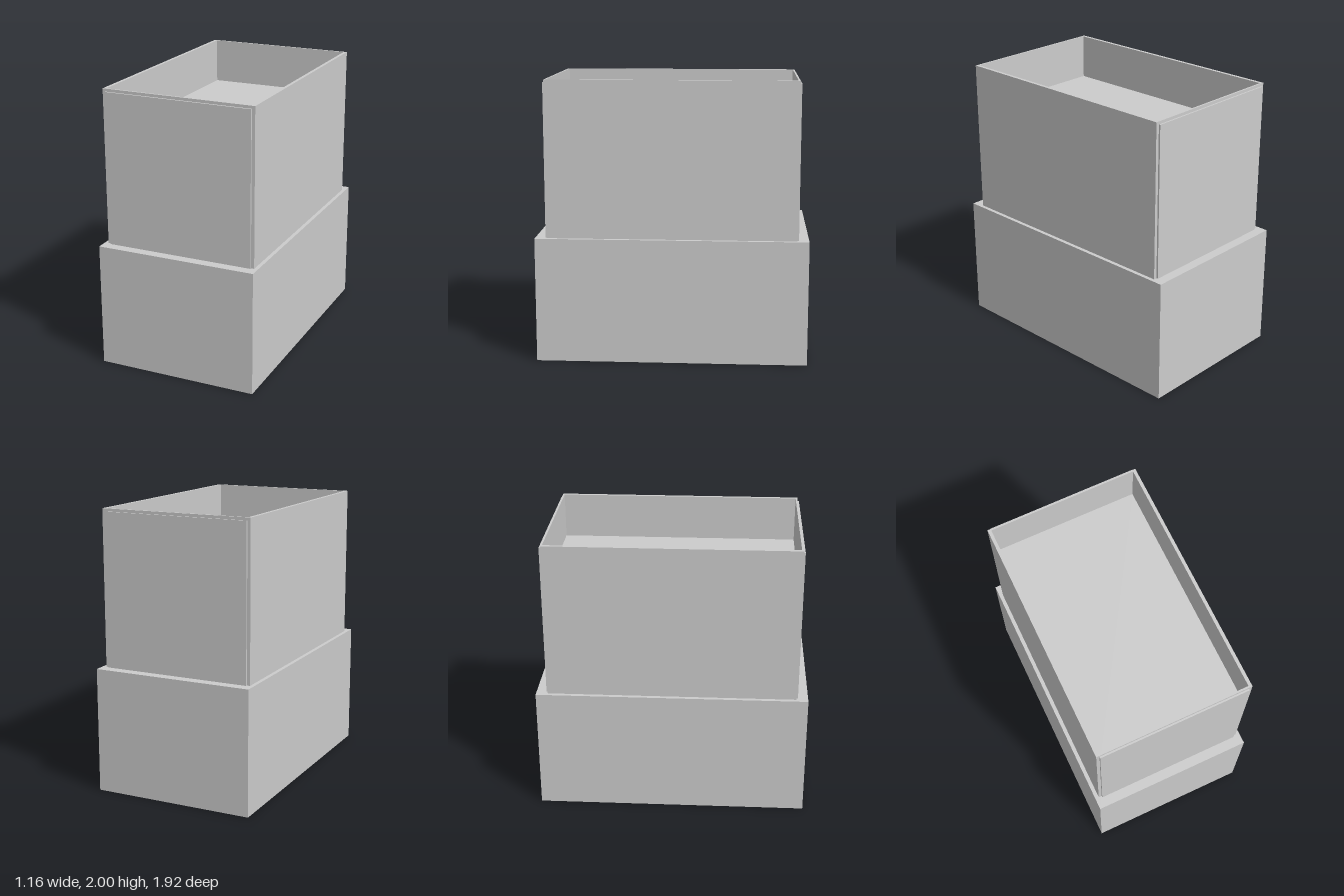
import * as THREE from 'three';

const solid = new THREE.MeshStandardMaterial({ color: 0xcccccc });
const thin = new THREE.MeshStandardMaterial({ color: 0xcccccc, side: THREE.DoubleSide });

const BASE = { x: 0.582, z: 0.96, top: 0.89 };
const OUTER = { x: 0.555, z: 0.877 };
const INNER = { x: 0.532, z: 0.864 };
const FLOOR_Y = 1.675;
const TOP_Y = 2;

function addMesh(group, name, geometry, material, x = 0, y = 0, z = 0) {
  const mesh = new THREE.Mesh(geometry, material);
  mesh.name = name;
  mesh.position.set(x, y, z);
  group.add(mesh);
  return mesh;
}

// Rectangle outline centred on the origin
function rectangle(Type, hx, hz) {
  return new Type([
    new THREE.Vector2(-hx, -hz), new THREE.Vector2(hx, -hz),
    new THREE.Vector2(hx, hz), new THREE.Vector2(-hx, hz),
  ]);
}

export function createModel() {
  const group = new THREE.Group();
  group.name = 'steppedBox';

  // Thin-walled base, closed on top and open underneath
  const base = new THREE.BoxGeometry(BASE.x * 2, BASE.top, BASE.z * 2);
  const index = Array.from(base.index.array);
  index.splice(18, 6); // drop the bottom face
  base.setIndex(index);
  base.clearGroups();
  addMesh(group, 'base', base, thin, 0, BASE.top / 2, 0);

  // Upper walls: a rectangular tube with a narrow rim
  const outline = rectangle(THREE.Shape, OUTER.x, OUTER.z);
  outline.holes.push(rectangle(THREE.Path, INNER.x, INNER.z));
  const walls = new THREE.ExtrudeGeometry(outline, { depth: TOP_Y - BASE.top, bevelEnabled: false });
  walls.rotateX(-Math.PI / 2);
  addMesh(group, 'upperWalls', walls, solid, 0, BASE.top, 0);

  // Tray floor sunk below the rim
  const floor = new THREE.PlaneGeometry(INNER.x * 2, INNER.z * 2);
  floor.rotateX(-Math.PI / 2);
  addMesh(group, 'trayFloor', floor, thin, 0, FLOOR_Y, 0);

  // Slightly raised end panels, front and back
  const panelTop = 1.98, panelDepth = 0.012;
  for (const side of [1, -1]) {
    addMesh(group, side > 0 ? 'frontPanel' : 'backPanel',
      new THREE.BoxGeometry(INNER.x * 2, panelTop - BASE.top, panelDepth), solid,
      0, (panelTop + BASE.top) / 2, side * (OUTER.z + panelDepth / 2));
  }

  return group;
}
